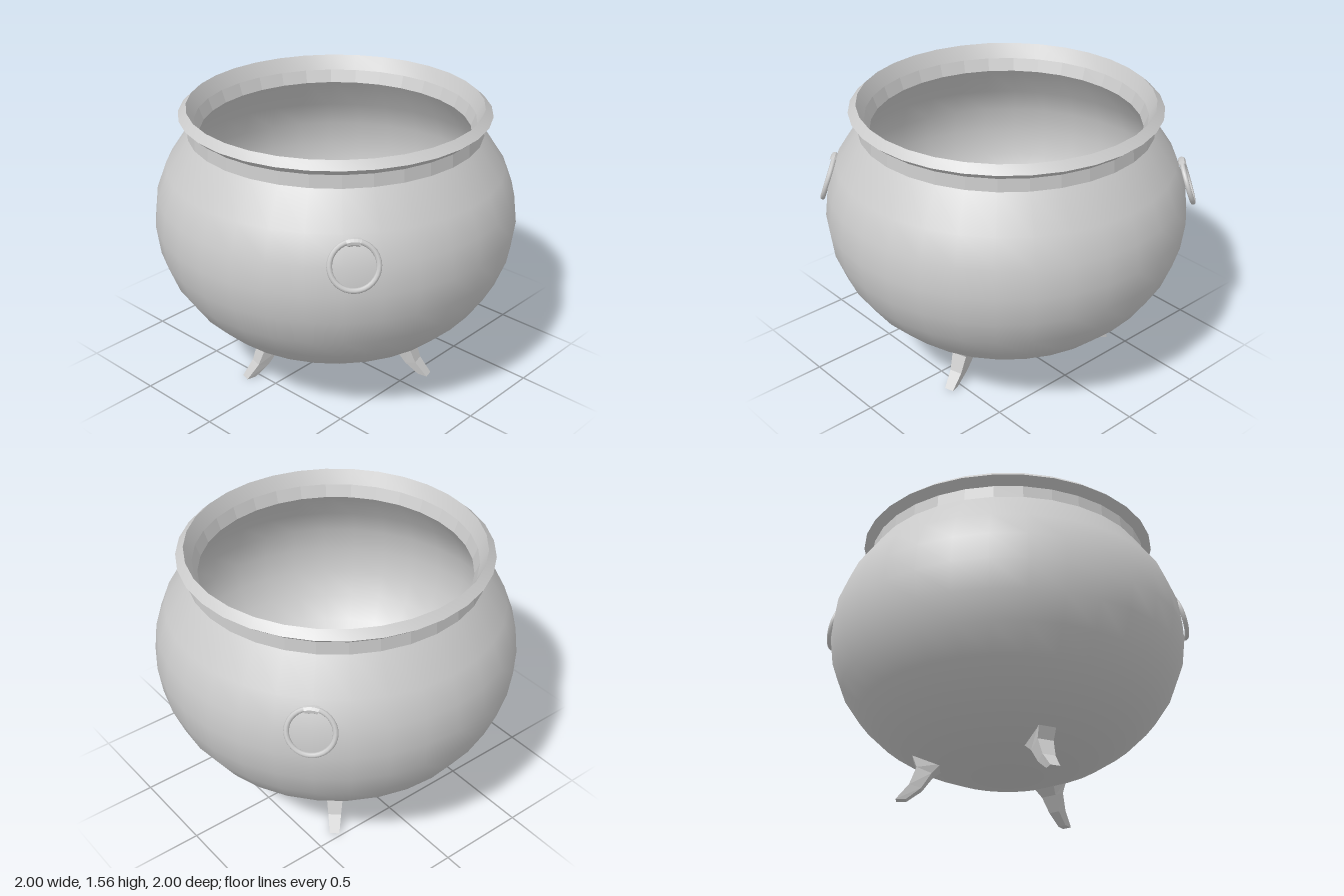
import * as THREE from 'three';
import { toCreasedNormals } from 'three/addons/utils/BufferGeometryUtils.js';

const SIDES = 32;
const smooth = new THREE.MeshStandardMaterial({ color: 0xcccccc });
const flat = new THREE.MeshStandardMaterial({ color: 0xcccccc, flatShading: true });

function lathe(name, points, material, crease) {
  let geometry = new THREE.LatheGeometry(points.map(([r, y]) => new THREE.Vector2(r, y)), SIDES);
  if (crease) geometry = toCreasedNormals(geometry, crease);
  const mesh = new THREE.Mesh(geometry, material);
  mesh.name = name;
  return mesh;
}

// Squashed round bowl, from the bottom pole up to just below the neck
function bowlProfile(radius, height) {
  const points = [];
  for (let i = 0; i <= 10; i++) {
    const a = -Math.PI / 2 + (i * Math.PI) / 16;
    points.push([Math.max(0, radius * Math.cos(a)), 0.92 + height * Math.sin(a)]);
  }
  return points;
}

// Clawed leg: four-cornered sections lofted from the bowl to the toe, pointing along +x.
// Each section: outer x, outer y, outer half width, inner x, inner y, inner half width
function legGeometry() {
  const sections = [
    [0.525, 0.26, 0.05, 0.36, 0.185, 0.065],
    [0.492, 0.175, 0.045, 0.41, 0.14, 0.045],
    [0.53, 0.08, 0.036, 0.465, 0.06, 0.032],
    [0.6, 0, 0.027, 0.545, 0, 0.024],
  ];
  const positions = [];
  const index = [];
  for (const [ox, oy, ow, ix, iy, iw] of sections) {
    positions.push(ox, oy, ow, ox, oy, -ow, ix, iy, -iw, ix, iy, iw);
  }
  for (let s = 0; s < sections.length - 1; s++) {
    for (let k = 0; k < 4; k++) {
      const a = s * 4 + k, b = s * 4 + ((k + 1) % 4);
      index.push(a, a + 4, b, b, a + 4, b + 4);
    }
  }
  const end = (sections.length - 1) * 4;
  index.push(0, 1, 2, 0, 2, 3, end, end + 2, end + 1, end, end + 3, end + 2);
  const geometry = new THREE.BufferGeometry();
  geometry.setAttribute('position', new THREE.Float32BufferAttribute(positions, 3));
  geometry.setIndex(index);
  geometry.computeVertexNormals();
  return geometry;
}

// Hanging ring with a thicker clasp at the top, leaning against the bowl
function handle(name, x, z) {
  const group = new THREE.Group();
  group.name = name;
  const ring = new THREE.Mesh(new THREE.TorusGeometry(0.121, 0.014, 8, 32), smooth);
  ring.name = 'handleRing';
  const arc = 0.6;
  const clasp = new THREE.Mesh(new THREE.TorusGeometry(0.119, 0.022, 8, 4, arc), flat);
  clasp.name = 'handleClasp';
  clasp.rotation.z = Math.PI / 2 - arc / 2;
  group.add(ring, clasp);
  group.position.set(x, 1.085, z);
  group.rotation.order = 'YXZ';
  group.rotation.y = Math.atan2(x, z);
  group.rotation.x = -0.33;
  return group;
}

export function createModel() {
  const model = new THREE.Group();
  model.name = 'cauldron';

  // Outer and inner walls of the bowl
  model.add(lathe('bowlOutside', [...bowlProfile(1, 0.8), [0.8, 1.41]], smooth));
  model.add(lathe('bowlInside', [...bowlProfile(0.96, 0.77), [0.735, 1.41]].reverse(), smooth));

  // Faceted neck, outside and inside
  model.add(lathe('neckOutside', [[0.8, 1.41], [0.795, 1.48]], flat));
  model.add(lathe('neckInside', [[0.76, 1.48], [0.735, 1.41]], flat));

  // Pointed rim
  model.add(lathe('rim', [[0.795, 1.48], [0.843, 1.52], [0.8, 1.56], [0.76, 1.48]], smooth, 0.4));

  // Two ring handles on opposite sides
  model.add(handle('leftHandle', 0.73, 0.655), handle('rightHandle', -0.7, -0.705));

  // Three legs
  const geometry = legGeometry();
  [[-0.175, 0.59], [0.59, -0.165], [-0.47, -0.38]].forEach(([x, z], i) => {
    const leg = new THREE.Mesh(geometry, flat);
    leg.name = `leg${i + 1}`;
    leg.rotation.y = Math.atan2(-z, x);
    model.add(leg);
  });
  return model;
}
